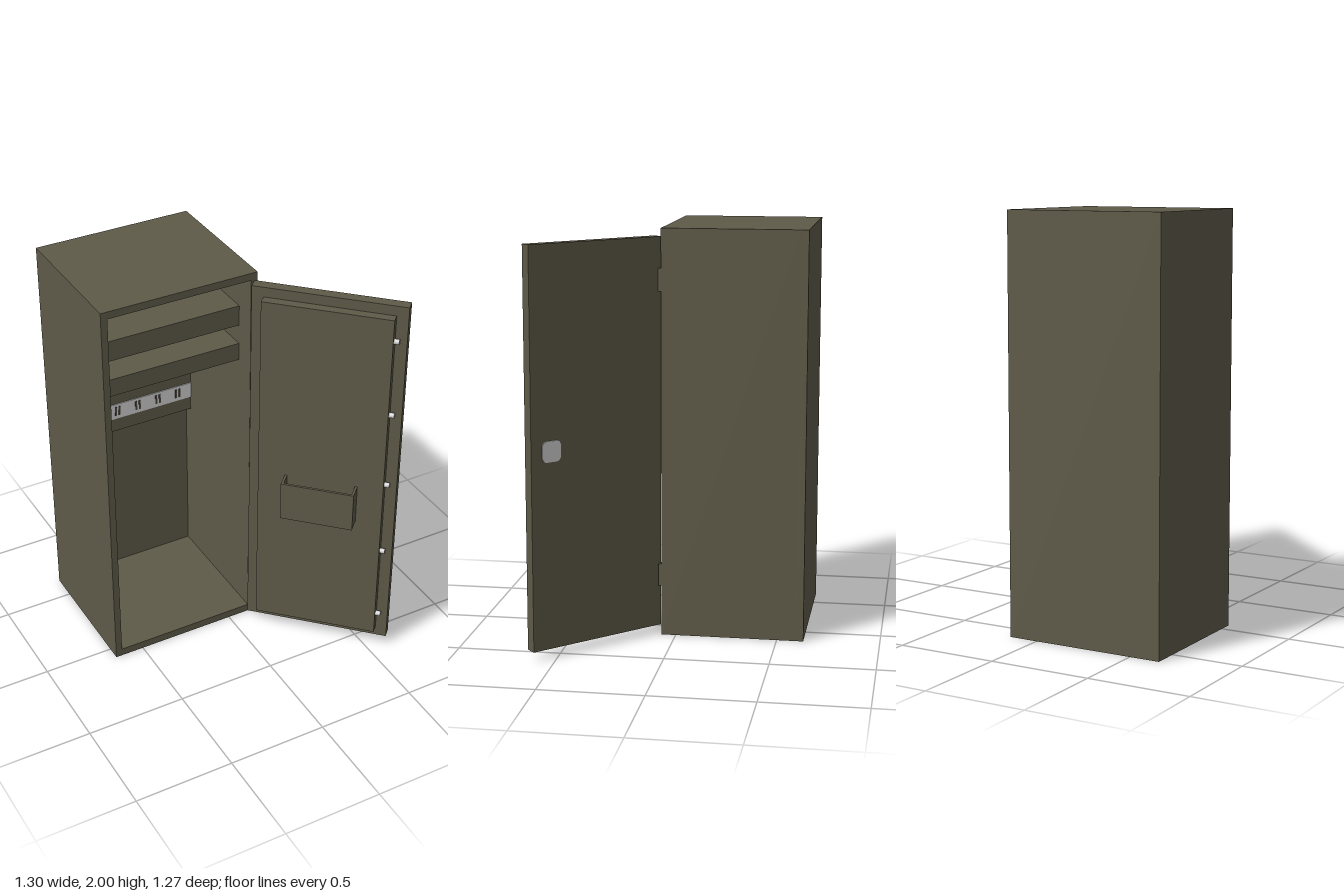
import * as THREE from 'three';

export function createModel() {
  const olive = new THREE.MeshStandardMaterial({ color: 0x5e5a48 });
  olive.name = 'olive steel';
  const silver = new THREE.MeshStandardMaterial({ color: 0xcfcfcf });
  silver.name = 'bright metal';
  const dark = new THREE.MeshStandardMaterial({ color: 0x4a473c });
  dark.name = 'dark slot';

  // Box given by its minimum and maximum corners
  const box = (parent, name, mat, [x0, y0, z0], [x1, y1, z1]) => {
    const m = new THREE.Mesh(new THREE.BoxGeometry(x1 - x0, y1 - y0, z1 - z0), mat);
    m.position.set((x0 + x1) / 2, (y0 + y1) / 2, (z0 + z1) / 2);
    m.name = name;
    parent.add(m);
    return m;
  };

  const rect = (C, x0, y0, x1, y1) => {
    const s = new C();
    s.moveTo(x0, y0).lineTo(x1, y0).lineTo(x1, y1).lineTo(x0, y1).closePath();
    return s;
  };

  const model = new THREE.Group();
  model.name = 'safe';

  // Cabinet shell: hollow frame closed by a back panel
  const cabinet = new THREE.Group();
  cabinet.name = 'cabinet';
  model.add(cabinet);
  const outline = rect(THREE.Shape, -0.65, 0, 0.145, 2);
  outline.holes.push(rect(THREE.Path, -0.617, 0.04, 0.112, 1.963));
  const shell = new THREE.Mesh(
    new THREE.ExtrudeGeometry(outline, { depth: 0.665, bevelEnabled: false }), olive);
  shell.position.z = -0.595;
  shell.name = 'cabinetShell';
  cabinet.add(shell);
  box(cabinet, 'backPanel', olive, [-0.65, 0, -0.63], [0.145, 2, -0.595]);

  // Upper shelves
  for (const [y0, y1] of [[1.67, 1.775], [1.48, 1.57]])
    box(cabinet, 'shelf', olive, [-0.617, y0, -0.595], [0.112, y1, -0.04]);

  // Rear rack with a bright strip and paired slots
  box(cabinet, 'rearRack', olive, [-0.617, 0.91, -0.595], [0.112, 1.145, -0.545]);
  box(cabinet, 'rackStrip', silver, [-0.617, 0.985, -0.545], [0.112, 1.07, -0.54]);
  for (let i = 0; i < 6; i++) {
    const x = -0.535 + i * 0.114;
    for (const dx of [-0.01, 0.01])
      box(cabinet, 'rackSlot', dark, [x + dx - 0.005, 1.005, -0.54], [x + dx + 0.005, 1.055, -0.537]);
  }

  // Hinges
  for (const y of [0.25, 1.7])
    box(cabinet, 'hinge', olive, [0.108, y, 0.07], [0.143, y + 0.11, 0.085]);

  // Open door: local x runs along its width, z points to its inner side
  const door = new THREE.Group();
  door.name = 'door';
  door.position.set(0.13, 1.96, 0.07);
  door.rotation.set(-0.006, -Math.PI / 4, 0, 'YXZ');
  model.add(door);
  const inner = new THREE.Group();
  inner.name = 'doorParts';
  inner.position.y = -1.96;
  door.add(inner);
  box(inner, 'doorPlate', olive, [0, 0.045, 0], [0.731, 1.96, 0.053]);
  box(inner, 'doorLining', olive, [0.057, 0.097, 0.053], [0.675, 1.91, 0.099]);

  // Locking bolts
  for (let i = 0; i < 5; i++) {
    const bolt = new THREE.Mesh(new THREE.CylinderGeometry(0.013, 0.013, 0.03, 16), silver);
    bolt.rotation.z = Math.PI / 2;
    bolt.position.set(0.685, 0.205 + i * 0.3965, 0.076);
    bolt.name = 'lockingBolt';
    inner.add(bolt);
  }

  // Open-topped pocket
  const [px0, px1, py0, py1, pz0, pz1, t] = [0.191, 0.549, 0.772, 0.975, 0.099, 0.179, 0.012];
  box(inner, 'pocketFloor', olive, [px0, py0, pz0], [px1, py0 + t, pz1]);
  box(inner, 'pocketFront', olive, [px0, py0 + t, pz1 - t], [px1, py1, pz1]);
  for (const x of [px0, px1 - t])
    box(inner, 'pocketEnd', olive, [x, py0 + t, pz0], [x + t, py1, pz1 - t]);

  // Rounded lock plate on the outer face
  const r = 0.025, h = 0.05, plate = new THREE.Shape();
  plate.absarc(h - r, h - r, r, 0, Math.PI / 2);
  plate.absarc(r - h, h - r, r, Math.PI / 2, Math.PI);
  plate.absarc(r - h, r - h, r, Math.PI, Math.PI * 1.5);
  plate.absarc(h - r, r - h, r, Math.PI * 1.5, Math.PI * 2);
  const lock = new THREE.Mesh(
    new THREE.ExtrudeGeometry(plate, { depth: 0.005, bevelEnabled: false, curveSegments: 6 }), silver);
  lock.position.set(0.622, 1.0, -0.005);
  lock.name = 'lockPlate';
  inner.add(lock);

  return model;
}
